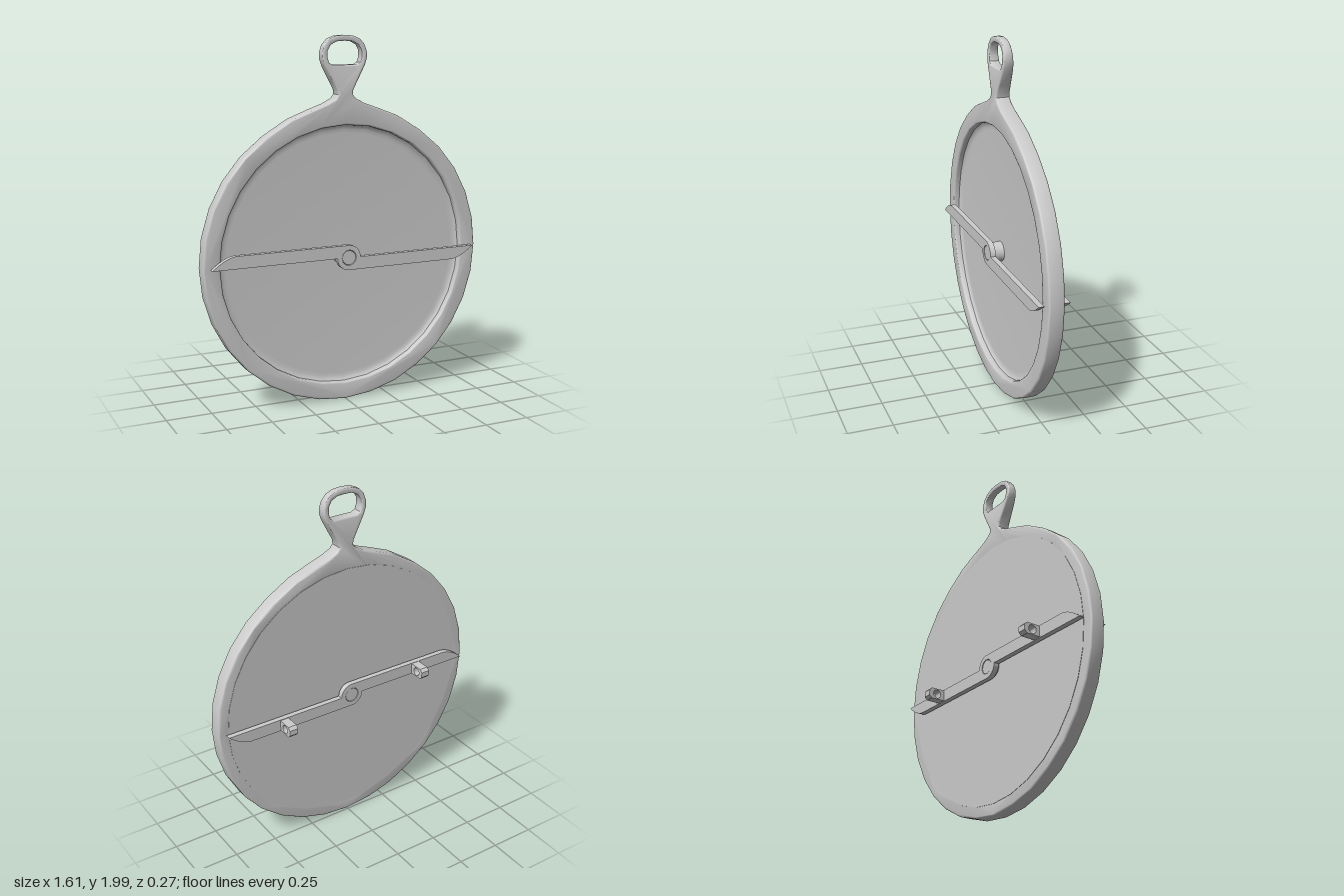
import * as THREE from 'three';
import { toCreasedNormals } from 'three/addons/utils/BufferGeometryUtils.js';

const CY = 0.813;            // height of the disc centre
const BACK = 0.005, FRONT = 0.09, FLOOR = 0.045;
const SIDES = 32;

const grey = new THREE.MeshStandardMaterial({ color: 0xcccccc });

function add(parent, name, geometry, crease = 0.65) {
  const mesh = new THREE.Mesh(toCreasedNormals(geometry, crease), grey);
  mesh.name = name;
  parent.add(mesh);
  return mesh;
}

const ring = (r, cx = 0, cy = 0, n = SIDES) => Array.from({ length: n }, (_, i) => {
  const a = (i / n) * Math.PI * 2;
  return new THREE.Vector2(cx + r * Math.cos(a), cy + r * Math.sin(a));
});

// Round body with shoulders, narrow neck and hanging eye
function bodyGeometry() {
  const pts = [];
  const step = (Math.PI * 2) / SIDES;
  for (let i = 11; i <= 37; i++) {
    pts.push(new THREE.Vector2(0.807 * Math.cos(i * step), CY + 0.807 * Math.sin(i * step)));
  }
  const neck = [[0.31, 1.568], [0.2, 1.61], [0.11, 1.642], [0.06, 1.668], [0.042, 1.69],
    [0.046, 1.715], [0.07, 1.758], [0.115, 1.84], [0.128, 1.875], [0.13, 1.91],
    [0.117, 1.95], [0.09, 1.98], [0.05, 1.996]];
  neck.forEach(([x, y]) => pts.push(new THREE.Vector2(x, y)));
  pts.push(new THREE.Vector2(0, 2));
  [...neck].reverse().forEach(([x, y]) => pts.push(new THREE.Vector2(-x, y)));

  const shape = new THREE.Shape(pts);
  shape.holes.push(new THREE.Path(ring(0.714, 0, CY + 0.003)));

  // Eye: flat below, arched above
  const eye = [[0.07, 1.845], [0.09, 1.857], [0.099, 1.885], [0.097, 1.92],
    [0.08, 1.95], [0.045, 1.967]];
  const eyePts = [...eye, [0, 1.97], ...eye.map(([x, y]) => [-x, y]).reverse()];
  shape.holes.push(new THREE.Path(eyePts.map(([x, y]) => new THREE.Vector2(x, y))));

  const b = 0.01;
  const geo = new THREE.ExtrudeGeometry(shape, {
    depth: FRONT - BACK - 2 * b, bevelEnabled: true, bevelThickness: b,
    bevelSize: b, bevelOffset: -b, bevelSegments: 3, curveSegments: 8,
  });
  geo.translate(0, 0, BACK + b);

  // Thin the neck and eye towards the top
  const p = geo.attributes.position, mid = (FRONT + BACK) / 2;
  for (let i = 0; i < p.count; i++) {
    const t = THREE.MathUtils.clamp((p.getY(i) - 1.64) / 0.33, 0, 1);
    p.setZ(i, mid + (p.getZ(i) - mid) * (1 - 0.47 * t));
  }
  return geo;
}

// Floor of the dish, with a soft fillet at its edge
function floorGeometry() {
  const profile = [[0, BACK - 0.002], [0.75, BACK - 0.002], [0.75, FLOOR], [0.716, FLOOR + 0.015],
    [0.705, FLOOR + 0.006], [0.69, FLOOR + 0.001], [0.67, FLOOR], [0, FLOOR]]
    .map(([x, y]) => new THREE.Vector2(x, y));
  return new THREE.LatheGeometry(profile, SIDES).rotateX(Math.PI / 2).translate(0, CY + 0.003, 0);
}

// Rule: two offset arms joined by a round hub, each tip curved to the centre line
function ruleGeometry() {
  const r = 0.068, tip = 0.77;
  const s = new THREE.Shape();
  s.moveTo(-tip, 0);
  s.lineTo(-r, 0);
  s.absarc(0, 0, r, Math.PI, Math.PI * 1.5, false);
  s.lineTo(0.63, -r);
  s.quadraticCurveTo(0.69, -r, tip, 0);
  s.lineTo(r, 0);
  s.absarc(0, 0, r, 0, Math.PI / 2, false);
  s.lineTo(-0.63, r);
  s.quadraticCurveTo(-0.69, r, -tip, 0);
  s.holes.push(new THREE.Path(ring(0.042, 0, 0, 24)));
  return new THREE.ExtrudeGeometry(s, { depth: 0.03, bevelEnabled: false, curveSegments: 10 });
}

// Sight vane: chamfered block pierced by a pinhole along x
function sightGeometry() {
  const h = 0.031, len = 0.1, c = 0.016;
  const s = new THREE.Shape([[0, -h], [len - c, -h], [len, -h + c], [len, h - c], [len - c, h], [0, h]]
    .map(([x, y]) => new THREE.Vector2(x, y)));
  s.holes.push(new THREE.Path(ring(0.024, 0.05, 0, 16)));
  return new THREE.ExtrudeGeometry(s, { depth: 0.05, bevelEnabled: false })
    .translate(0, 0, -0.025).rotateY(Math.PI / 2);
}

function createModel() {
  const model = new THREE.Group();
  add(model, 'body', bodyGeometry());
  add(model, 'dishFloor', floorGeometry());

  const y = CY + 0.004;
  add(model, 'frontRule', ruleGeometry()).position.set(0, y, 0.1);
  add(model, 'backRule', ruleGeometry()).position.set(0, y, -0.04);

  // Pivot pin through both hubs, and spacers behind them
  const pin = new THREE.CylinderGeometry(0.039, 0.039, 0.166, 24).rotateX(Math.PI / 2);
  add(model, 'pivotPin', pin).position.set(0, y, 0.045);
  const spacer = (len) => new THREE.CylinderGeometry(0.055, 0.055, len, 24).rotateX(Math.PI / 2);
  add(model, 'frontSpacer', spacer(0.06)).position.set(0, y, 0.07);
  add(model, 'backSpacer', spacer(0.02)).position.set(0, y, 0);

  // One sight on each arm of the back rule
  for (const side of [1, -1]) {
    const sight = add(model, side > 0 ? 'leftSight' : 'rightSight', sightGeometry());
    sight.position.set(side * 0.435, y - side * 0.035, -0.036);
  }
  return model;
}

export { createModel };
